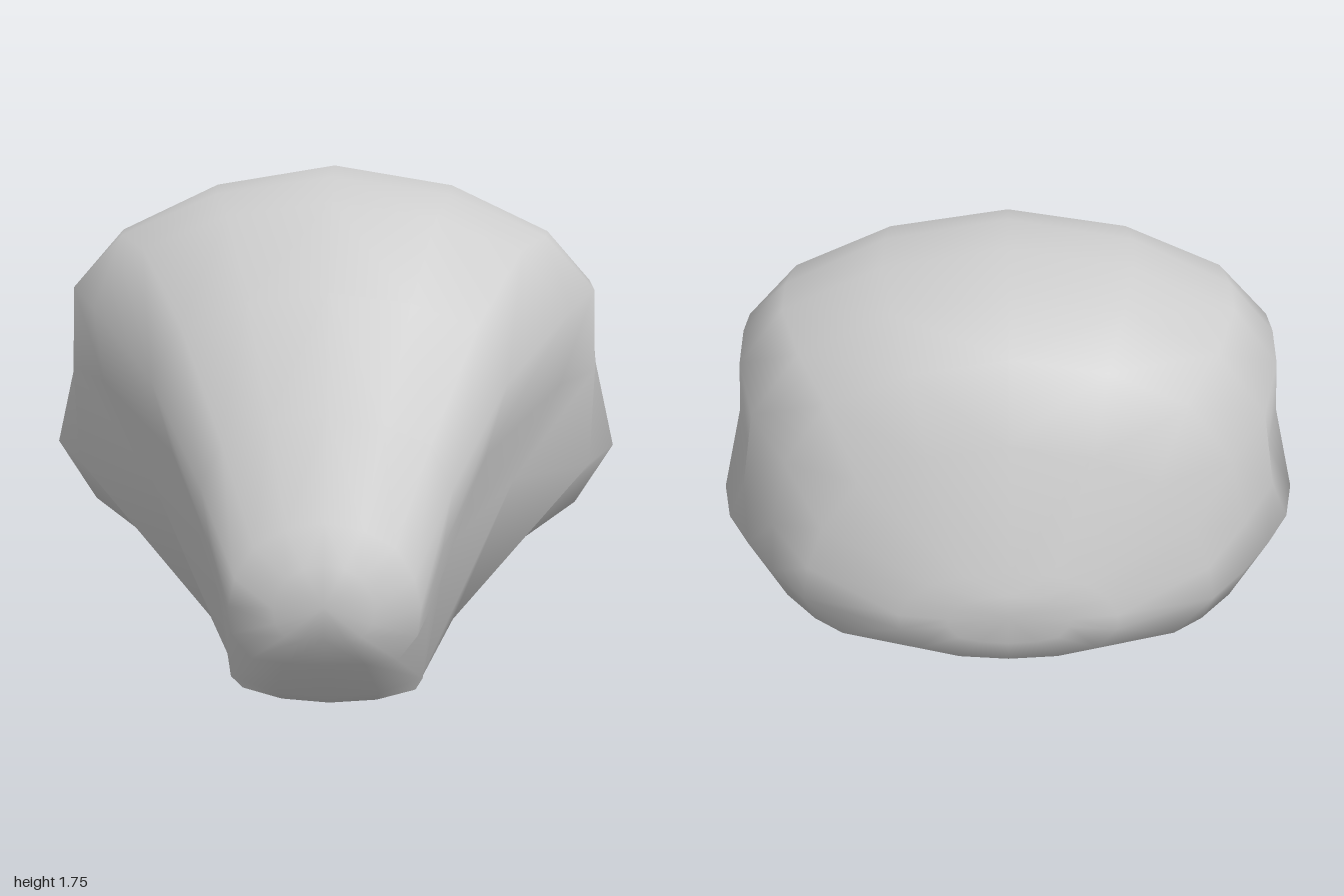
import * as THREE from 'three';
import { mergeVertices } from 'three/addons/utils/BufferGeometryUtils.js';

// Half cross-sections from front to back:
// z, top y, [shoulder, upper side, mid side, low side, bottom edge as x, y], bottom y
const sections = [
  [0.87, 0.73, 0.22, 0.65, 0.28, 0.55, 0.30, 0.46, 0.29, 0.37, 0.23, 0.29, 0.27],
  [0.70, 1.03, 0.33, 0.94, 0.40, 0.80, 0.37, 0.60, 0.33, 0.40, 0.31, 0.17, 0.10],
  [0.48, 1.39, 0.48, 1.28, 0.58, 1.10, 0.51, 0.85, 0.39, 0.54, 0.29, 0.05, 0.00],
  [0.24, 1.66, 0.63, 1.50, 0.80, 1.30, 0.77, 1.05, 0.62, 0.72, 0.42, 0.22, 0.16],
  [0.09, 1.73, 0.72, 1.53, 0.89, 1.35, 0.90, 1.07, 0.89, 0.74, 0.56, 0.39, 0.30],
  [-0.08, 1.755, 0.74, 1.53, 0.89, 1.36, 0.92, 1.07, 0.99, 0.77, 0.86, 0.56, 0.38],
  [-0.28, 1.73, 0.73, 1.52, 0.88, 1.33, 0.87, 1.03, 0.95, 0.76, 0.83, 0.56, 0.44],
  [-0.50, 1.655, 0.66, 1.46, 0.82, 1.25, 0.86, 1.00, 0.86, 0.78, 0.74, 0.58, 0.48],
  [-0.68, 1.52, 0.56, 1.37, 0.70, 1.17, 0.75, 0.95, 0.76, 0.78, 0.63, 0.60, 0.52],
  [-0.80, 1.29, 0.46, 1.16, 0.58, 1.00, 0.63, 0.86, 0.65, 0.75, 0.53, 0.62, 0.56],
  [-0.92, 0.91, 0.24, 0.87, 0.31, 0.82, 0.34, 0.76, 0.34, 0.71, 0.28, 0.64, 0.60],
];

// Full ring of points: top, down the left side, bottom, up the right side
function sectionRing([z, top, ...rest]) {
  const bottom = rest.pop();
  const half = [];
  for (let i = 0; i < rest.length; i += 2) half.push([rest[i], rest[i + 1]]);
  const [shoulder, edge] = [half[0], half[half.length - 1]];
  half.unshift([shoulder[0] * 0.55, top - (top - shoulder[1]) * 0.3]);
  half.push([edge[0] * 0.55, bottom + (edge[1] - bottom) * 0.25]);
  const mirrored = half.map(([x, y]) => [-x, y]).reverse();
  return [[0, top], ...half, [0, bottom], ...mirrored].map(([x, y]) => [x, y, z]);
}

// A ring shrunk towards the centre of an end; scale 0 closes it
const shrunkRing = (ring, y, z, scale) =>
  ring.map((p) => [p[0] * scale, y + (p[1] - y) * scale, z]);

// Low-poly skin with smooth normals, closed and rounded at each end
function skinGeometry() {
  const body = sections.map(sectionRing);
  const front = body[0];
  const back = body[body.length - 1];
  const rings = [
    shrunkRing(front, 0.485, 0.95, 0),
    shrunkRing(front, 0.485, 0.932, 0.52),
    ...body,
    shrunkRing(back, 0.76, -0.943, 0.55),
    shrunkRing(back, 0.77, -0.95, 0),
  ];
  const sides = front.length;
  const last = rings.length - 2;
  const index = [];
  for (let i = 0; i <= last; i++) {
    for (let j = 0; j < sides; j++) {
      const a = i * sides + j;
      const b = i * sides + (j + 1) % sides;
      const c = a + sides;
      const d = b + sides;
      // Single triangles at the ends, mirrored diagonals in between
      if (i === 0) index.push(a, d, c);
      else if (i === last) index.push(a, b, c);
      else if (j < sides / 2) index.push(a, b, c, b, d, c);
      else index.push(a, b, d, a, d, c);
    }
  }
  let geometry = new THREE.BufferGeometry();
  geometry.setAttribute('position', new THREE.Float32BufferAttribute(rings.flat(2), 3));
  geometry.setIndex(index);
  geometry = mergeVertices(geometry, 1e-5);
  geometry.computeVertexNormals();
  return geometry;
}

export function createModel() {
  const model = new THREE.Group();
  model.name = 'model';
  const head = new THREE.Mesh(
    skinGeometry(),
    new THREE.MeshStandardMaterial({ color: 0xcccccc }),
  );
  head.name = 'head';
  model.add(head);
  return model;
}
